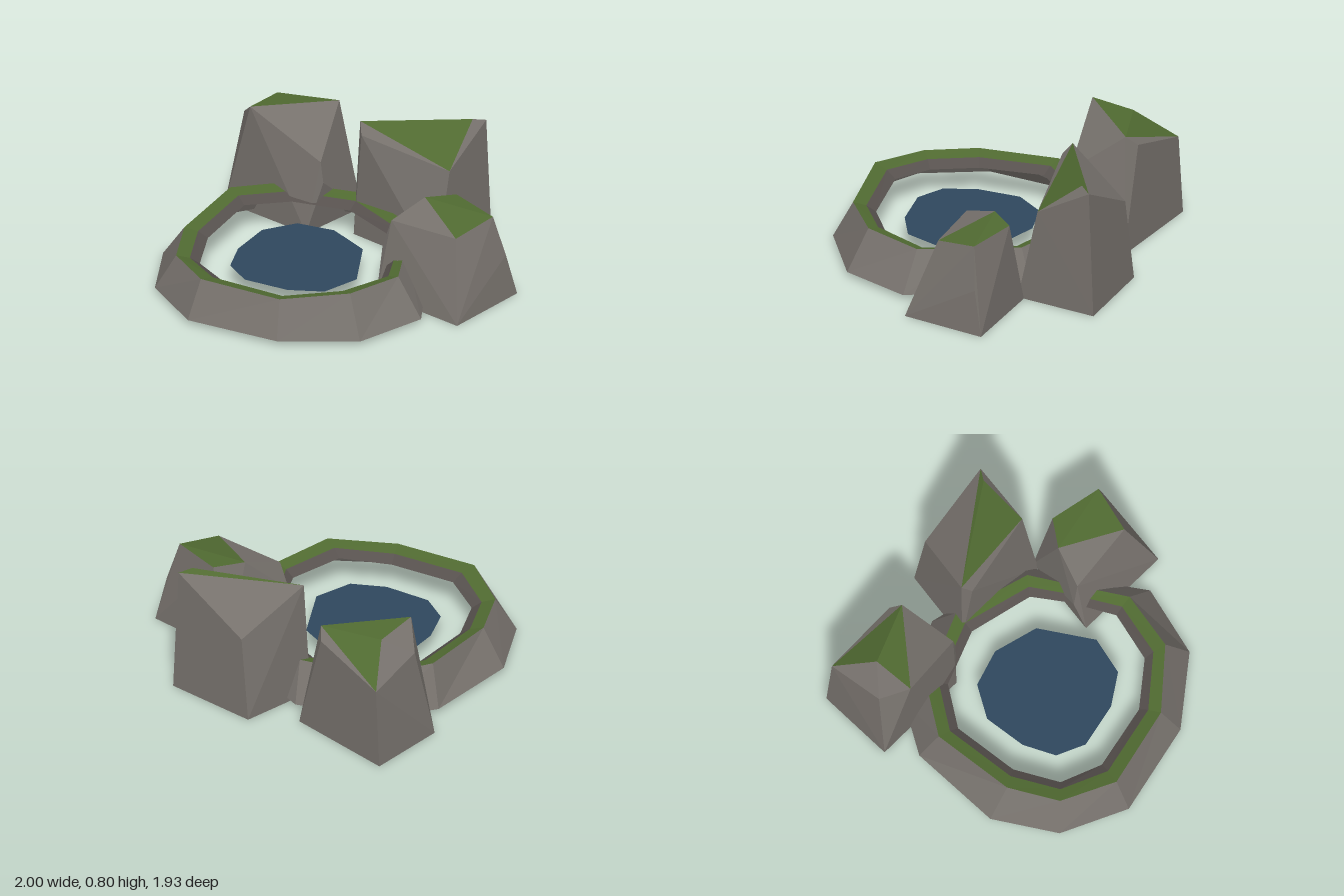
import * as THREE from 'three';
import { ConvexGeometry } from 'three/addons/geometries/ConvexGeometry.js';

const mat = (name, color, side = THREE.DoubleSide) => {
  const m = new THREE.MeshStandardMaterial({ color, side, flatShading: true });
  m.name = name;
  return m;
};

const V = (x, y, z) => new THREE.Vector3(x, y, z);

// flat-shaded mesh from a list of triangle corners
function facets(name, corners, material) {
  const geo = new THREE.BufferGeometry().setFromPoints(corners);
  geo.computeVertexNormals();
  const mesh = new THREE.Mesh(geo, material);
  mesh.name = name;
  return mesh;
}

// closed band of faces between two loops
function band(name, a, b, material) {
  const tris = [];
  a.forEach((p, i) => {
    const j = (i + 1) % a.length;
    tris.push(p, b[i], a[j], a[j], b[i], b[j]);
  });
  return facets(name, tris, material);
}

// convex boulder; faces whose corners all lie in one moss set become moss
function boulder(name, coords, mossSets, stone, moss) {
  const pts = coords.map(c => V(...c));
  const pos = new ConvexGeometry(pts).getAttribute('position');
  const stoneTris = [], mossTris = [];
  for (let i = 0; i < pos.count; i += 3) {
    const tri = [0, 1, 2].map(k => new THREE.Vector3().fromBufferAttribute(pos, i + k));
    const ids = tri.map(v => pts.findIndex(p => p.distanceTo(v) < 1e-4));
    const mossy = mossSets.some(set => ids.every(id => set.includes(id)));
    (mossy ? mossTris : stoneTris).push(...tri);
  }
  const g = new THREE.Group();
  g.name = name;
  g.add(facets(name + 'Stone', stoneTris, stone), facets(name + 'Moss', mossTris, moss));
  return g;
}

export function createModel() {
  const model = new THREE.Group();
  model.name = 'rockPool';
  const stone = mat('stone', 0x76716c);
  const wetStone = mat('wet stone', 0x57514e);
  const moss = mat('moss', 0x506a31);
  const water = mat('water', 0x2f475d);

  // pool rim: outer foot x,z | outer crest x,z | inner edge x,z | crest height
  const rim = [
    [0.79, 0.10, 0.62, 0.10, 0.50, 0.11, 0.255],
    [0.68, 0.53, 0.55, 0.46, 0.42, 0.42, 0.275],
    [0.30, 0.83, 0.24, 0.73, 0.18, 0.61, 0.245],
    [-0.26, 0.96, -0.25, 0.85, -0.22, 0.70, 0.26],
    [-0.65, 0.78, -0.56, 0.695, -0.46, 0.60, 0.24],
    [-0.87, 0.43, -0.72, 0.42, -0.60, 0.35, 0.25],
    [-0.88, -0.14, -0.78, -0.08, -0.65, -0.05, 0.275],
    [-0.70, -0.45, -0.59, -0.37, -0.49, -0.29, 0.25],
    [-0.235, -0.67, -0.16, -0.55, -0.16, -0.42, 0.25],
    [0.38, -0.53, 0.30, -0.42, 0.23, -0.33, 0.25],
    [0.57, -0.22, 0.44, -0.19, 0.36, -0.15, 0.25],
  ];
  const foot = rim.map(r => V(r[0], 0.03, r[1]));
  const crest = rim.map(r => V(r[2], r[6], r[3]));
  const edge = rim.map(r => V(r[4], r[6] - 0.06, r[5]));
  const mossEdge = crest.map((c, i) => {
    const p = c.clone().lerp(edge[i], 0.58);
    p.y = c.y - 0.02;
    return p;
  });
  const ring = new THREE.Group();
  ring.name = 'poolRim';
  ring.add(
    band('rimWall', foot, crest, stone),
    band('rimMoss', crest, mossEdge, moss),
    band('rimLip', mossEdge, edge, wetStone),
  );
  model.add(ring);

  // water sheet
  const shore = [
    [-0.14, -0.25], [-0.36, -0.18], [-0.47, 0.01], [-0.44, 0.27], [-0.35, 0.455],
    [-0.18, 0.53], [0.09, 0.47], [0.27, 0.35], [0.325, 0.12], [0.13, -0.18],
  ].map(([x, z]) => V(x, 0.14, z));
  const centre = V(-0.07, 0.14, 0.14);
  model.add(facets('waterSurface',
    shore.flatMap((p, i) => [centre, p, shore[(i + 1) % shore.length]]), water));

  // boulders: crown points first, then the four foot corners
  model.add(boulder('rightBoulder', [
    [-0.965, 0.50, -0.77], [-0.81, 0.69, -0.555], [-0.46, 0.70, -0.695], [-0.80, 0.715, -0.29],
    [-0.94, 0.585, -0.41], [-0.51, 0.64, -0.75], [-0.35, 0.46, -0.385], [-0.33, 0.33, -0.385],
    [-1, 0, -0.305], [-0.40, 0, -0.31], [-0.34, 0, -0.75], [-1, 0, -0.78],
  ], [[0, 1, 2], [1, 2, 3]], stone, moss));

  model.add(boulder('backBoulder', [
    [-0.155, 0.75, -0.51], [0.395, 0.80, -0.87], [0.44, 0.585, -0.60], [0.44, 0.78, -0.94],
    [-0.04, 0.52, -0.92], [-0.11, 0.69, -0.465],
    [-0.18, 0, -0.48], [0.44, 0, -0.47], [0.45, 0, -0.975], [-0.11, 0, -0.94],
  ], [[0, 1, 2], [0, 1, 3]], stone, moss));

  model.add(boulder('leftBoulder', [
    [0.47, 0.54, -0.335], [0.84, 0.47, -0.16], [0.90, 0.52, -0.43], [0.58, 0.53, -0.49],
    [0.40, 0.46, -0.11], [0.35, 0.285, -0.09], [0.965, 0.27, -0.47],
    [0.37, 0, -0.01], [0.97, 0, -0.01], [1, 0, -0.53], [0.44, 0, -0.51],
  ], [[0, 1, 2, 3]], stone, moss));

  return model;
}
